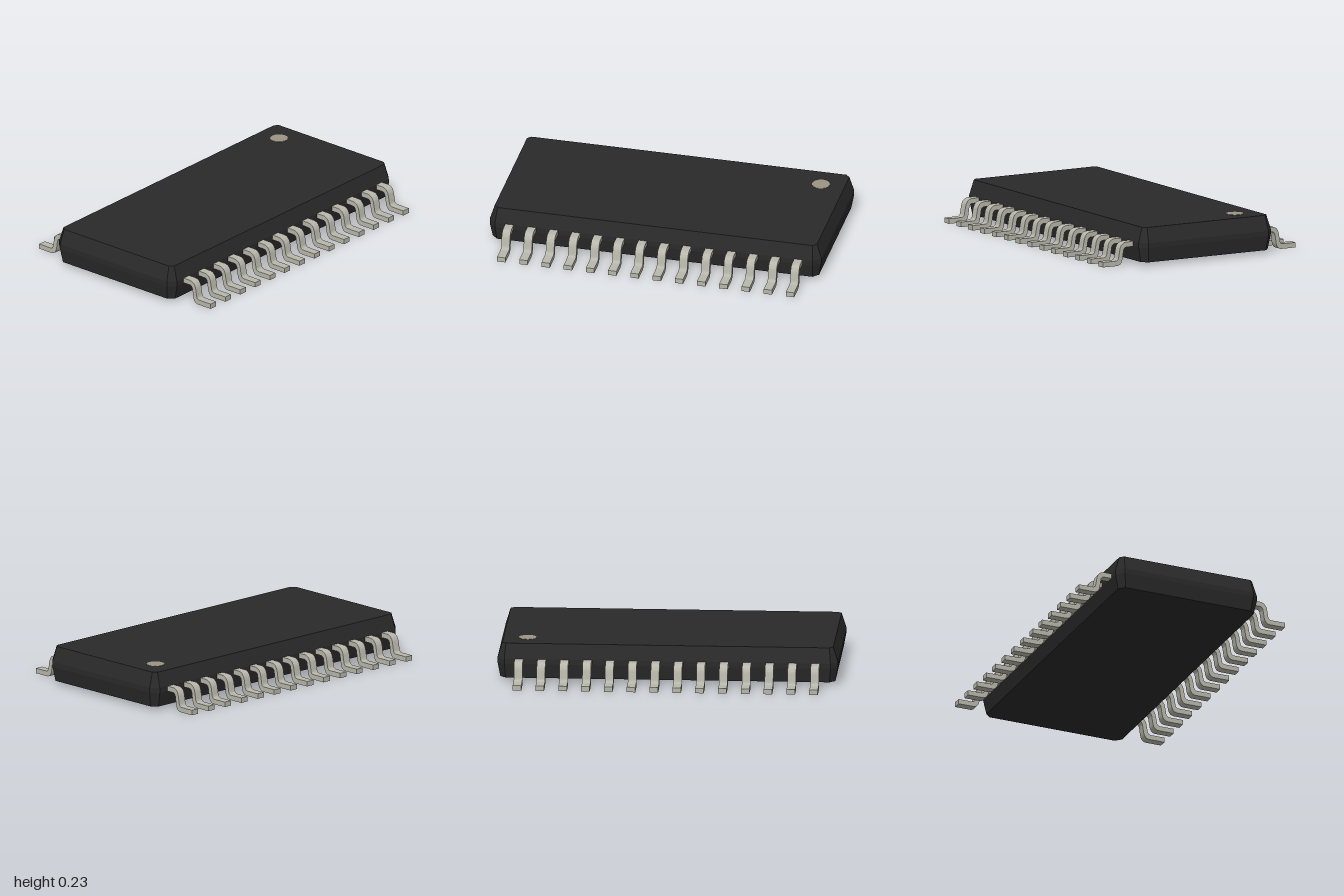
import * as THREE from 'three';
import { toCreasedNormals } from 'three/addons/utils/BufferGeometryUtils.js';

const PINS_PER_SIDE = 14, PITCH = 0.134, PIN_WIDTH = 0.05;

// Chamfered rectangle at one height, counter-clockwise seen from above
function ring(y, hx, hz, c) {
  return [
    [hx, hz - c], [hx, -hz + c], [hx - c, -hz], [-hx + c, -hz],
    [-hx, -hz + c], [-hx, hz - c], [-hx + c, hz], [hx - c, hz],
  ].map(([x, z]) => [x, y, z]);
}

// Skin stacked rings and close both ends
function loft(rings) {
  const pos = [], n = rings[0].length;
  const tri = (a, b, c) => pos.push(...a, ...b, ...c);
  for (let r = 0; r < rings.length - 1; r++) {
    const lo = rings[r], hi = rings[r + 1];
    for (let i = 0; i < n; i++) {
      const j = (i + 1) % n;
      tri(lo[i], lo[j], hi[j]);
      tri(lo[i], hi[j], hi[i]);
    }
  }
  const bottom = rings[0], top = rings[rings.length - 1];
  for (let i = 1; i < n - 1; i++) {
    tri(top[0], top[i], top[i + 1]);
    tri(bottom[0], bottom[i + 1], bottom[i]);
  }
  const geo = new THREE.BufferGeometry();
  geo.setAttribute('position', new THREE.Float32BufferAttribute(pos, 3));
  geo.computeVertexNormals();
  return geo;
}

// Gull-wing lead: side outline extruded across its width
function leadGeometry() {
  const s = new THREE.Shape();
  s.moveTo(0.43, 0.107);
  s.lineTo(0.496, 0.107);
  s.quadraticCurveTo(0.517, 0.107, 0.52, 0.085);
  s.lineTo(0.526, 0.045);
  s.quadraticCurveTo(0.532, 0, 0.565, 0);
  s.lineTo(0.66, 0);
  s.lineTo(0.66, 0.03);
  s.lineTo(0.574, 0.03);
  s.quadraticCurveTo(0.556, 0.03, 0.553, 0.05);
  s.lineTo(0.546, 0.09);
  s.quadraticCurveTo(0.538, 0.137, 0.496, 0.137);
  s.lineTo(0.43, 0.137);
  s.closePath();
  const geo = new THREE.ExtrudeGeometry(s, { depth: PIN_WIDTH, bevelEnabled: false, curveSegments: 8 });
  geo.translate(0, 0, -PIN_WIDTH / 2);
  return toCreasedNormals(geo, 0.6);
}

export function createModel() {
  const model = new THREE.Group();
  model.name = 'chipPackage';
  const bodyMat = new THREE.MeshStandardMaterial({ color: 0x2a2a2a });
  const leadMat = new THREE.MeshStandardMaterial({ color: 0xb8b7ab });
  const markMat = new THREE.MeshStandardMaterial({ color: 0x9c9484 });

  // Moulded body with a vertical parting band and tapered halves
  const body = new THREE.Mesh(loft([
    ring(0.02, 0.435, 0.984, 0.033),
    ring(0.107, 0.453, 1.0, 0.042),
    ring(0.137, 0.453, 1.0, 0.042),
    ring(0.226, 0.426, 0.972, 0.022),
  ]), bodyMat);
  body.name = 'body';
  model.add(body);

  // Round pin-one marker
  const marker = new THREE.Mesh(new THREE.CylinderGeometry(0.052, 0.052, 0.004, 48), markMat);
  marker.name = 'pinOneMarker';
  marker.position.set(-0.283, 0.2255, -0.83);
  model.add(marker);

  // Rows of leads; the right row is the left row turned half round
  const geo = leadGeometry();
  for (const [name, turn] of [['leftLeads', 0], ['rightLeads', Math.PI]]) {
    const row = new THREE.Group();
    row.name = name;
    row.rotation.y = turn;
    for (let i = 0; i < PINS_PER_SIDE; i++) {
      const lead = new THREE.Mesh(geo, leadMat);
      lead.name = 'lead';
      lead.position.z = (i - (PINS_PER_SIDE - 1) / 2) * PITCH;
      row.add(lead);
    }
    model.add(row);
  }
  return model;
}
